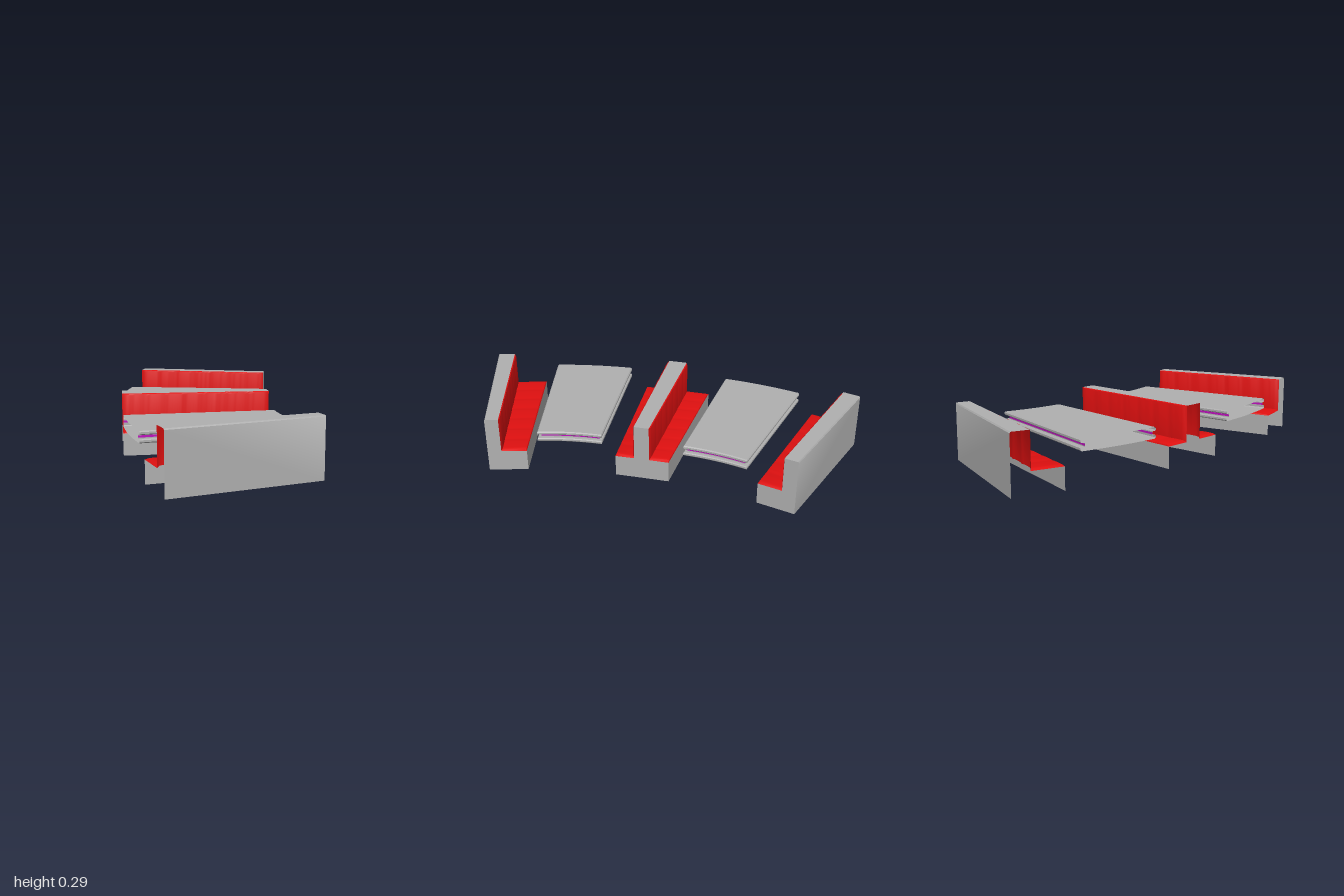
import * as THREE from 'three';
import { toCreasedNormals } from 'three/addons/utils/BufferGeometryUtils.js';

const mat = (name, color) =>
  new THREE.MeshStandardMaterial({ name, color, side: THREE.DoubleSide });

// Grid of quads through rows of points
function sheet(name, rows, material, crease = 0.6) {
  const n = rows[0].length, idx = [];
  for (let i = 0; i < rows.length - 1; i++)
    for (let j = 0; j < n - 1; j++) {
      const a = i * n + j, b = a + 1, c = a + n, d = c + 1;
      idx.push(a, c, b, b, c, d);
    }
  const g = new THREE.BufferGeometry().setFromPoints(rows.flat());
  g.setIndex(idx);
  const mesh = new THREE.Mesh(toCreasedNormals(g, crease), material);
  mesh.name = name;
  return mesh;
}

const range = (n, f) => Array.from({ length: n + 1 }, (_, i) => f(i / n));

// Plan mapping: u runs along the length, v across, between four [x, z] corners
const planMap = ([a, b, c, d], bulge = 0) => (u, v, y) => {
  const mix = (k) => (1 - v) * ((1 - u) * a[k] + u * b[k]) + v * ((1 - u) * c[k] + u * d[k]);
  return new THREE.Vector3(mix(0) - bulge * 4 * v * (1 - v), y, mix(1));
};

// One-sided bench: v = 0 is the back line, v = 1 the front of the seat
function makeBench(name, corners, backV, hasRear, m) {
  const g = new THREE.Group();
  g.name = name;
  const P = planMap(corners);
  const H = 0.29, S = 0.11;
  const depth = Math.hypot(corners[0][0] - corners[2][0], corners[0][1] - corners[2][1]);
  const loft = (part, prof, material) =>
    g.add(sheet(part, prof.map(([v, y]) => [P(0, v, y), P(1, v, y)]), material));

  if (hasRear) {
    loft('rearPanel', [[0, 0], [0, 0.284], [0.02, H]], m.grey);
    loft('topRail', [[0.02, H], [backV, H]], m.grey);
  } else loft('topRail', [[0, H], [backV, H]], m.grey);
  loft('seatFrontPanel', [[1, S], [1, 0]], m.grey);

  // Closed end at +x
  loftEnd([[0, 0, H], [backV, 0, H]], 'backEnd');
  loftEnd([[backV, 0, S], [1, 0, S]], 'seatEnd');
  function loftEnd(cols, part) {
    g.add(sheet(part, cols.map(([v, lo, hi]) => [P(1, v, lo), P(1, v, hi)]), m.grey));
  }

  // Channelled upholstery, thinning out at both ends
  const pad = (u) => (u === 0 || u === 1) ? 0 : 0.006 + 0.003 * Math.sqrt(Math.abs(Math.sin(7 * Math.PI * u)));
  const rowsFor = (prof) => range(56, (u) =>
    prof.map(([v, y, out, up]) => P(u, v + out * pad(u) / depth, y + up * pad(u))));
  g.add(sheet('backCushion', rowsFor([
    [backV, H, 0, 0], [backV, H - 0.003, 0.7, 0], [backV, H - 0.01, 1, 0],
    [backV, S + 0.012, 1, 0], [backV, S, 1, 1]]), m.red));
  g.add(sheet('seatCushion', rowsFor([
    [backV, S, 1, 1], [0.95, S, 0, 1], [0.985, S, 0, 0.7], [1, S, 0, 0]]), m.red));
  return g;
}

// Grooved table top, open at the -x end
function makeTable(name, corners, m) {
  const g = new THREE.Group();
  g.name = name;
  const P = planMap(corners, 0.011);
  const len = 0.75, wid = 0.38;
  const ring = (inset, y) => {
    const du = 1 - inset / len, dv = inset / wid;
    return [
      ...range(4, (t) => P(t * du, dv, y)),
      ...range(10, (t) => P(du, dv + t * (1 - 2 * dv), y)),
      ...range(4, (t) => P((1 - t) * du, 1 - dv, y)),
    ];
  };
  const plate = (part, inset, y) => {
    const du = 1 - inset / len, dv = inset / wid;
    g.add(sheet(part, range(10, (t) => range(2, (u) =>
      P(u * du, dv + t * (1 - 2 * dv), y))), m.grey));
  };
  const band = (part, prof, material) =>
    g.add(sheet(part, prof.map(([d, y]) => ring(d, y)), material));

  plate('tableTop', 0.005, 0.22);
  band('upperRim', [[0.005, 0.22], [0, 0.215], [0, 0.206], [0.004, 0.202], [0.02, 0.202], [0.02, 0.197]], m.grey);
  band('edgeInlay', [[0.02, 0.197], [0.02, 0.187]], m.magenta);
  band('lowerRim', [[0.02, 0.187], [0.02, 0.183], [0.004, 0.183], [0, 0.179], [0, 0.17], [0.005, 0.165]], m.grey);
  plate('tableUnderside', 0.005, 0.165);
  return g;
}

export function createModel() {
  const m = {
    grey: mat('grey laminate', 0xb0b0b0),
    red: mat('red upholstery', 0xe01010),
    magenta: mat('magenta inlay', 0xc010c0),
  };
  const model = new THREE.Group();
  model.name = 'boothSeating';

  // Corners: back left, back right, seat front left, seat front right
  model.add(makeBench('rearBench',
    [[-0.18, -1], [0.49, -0.68], [-0.283, -0.77], [0.417, -0.5]], 0.36, true, m));
  model.add(makeBench('frontBench',
    [[-0.44, 0.995], [0.295, 0.855], [-0.477, 0.74], [0.268, 0.66]], 0.35, true, m));

  // Back-to-back middle bench, shared centre line
  const cl = [-0.465, -0.022], cr = [0.274, 0.077];
  model.add(makeBench('middleBenchRearSide', [cl, cr, [-0.442, -0.198], [0.29, -0.06]], 0.28, false, m));
  model.add(makeBench('middleBenchFrontSide', [cl, cr, [-0.486, 0.155], [0.26, 0.21]], 0.28, false, m));

  model.add(makeTable('rearTable', [[-0.31, -0.695], [0.393, -0.445], [-0.428, -0.29], [0.303, -0.132]], m));
  model.add(makeTable('frontTable', [[-0.497, 0.243], [0.252, 0.278], [-0.486, 0.668], [0.26, 0.602]], m));
  return model;
}
